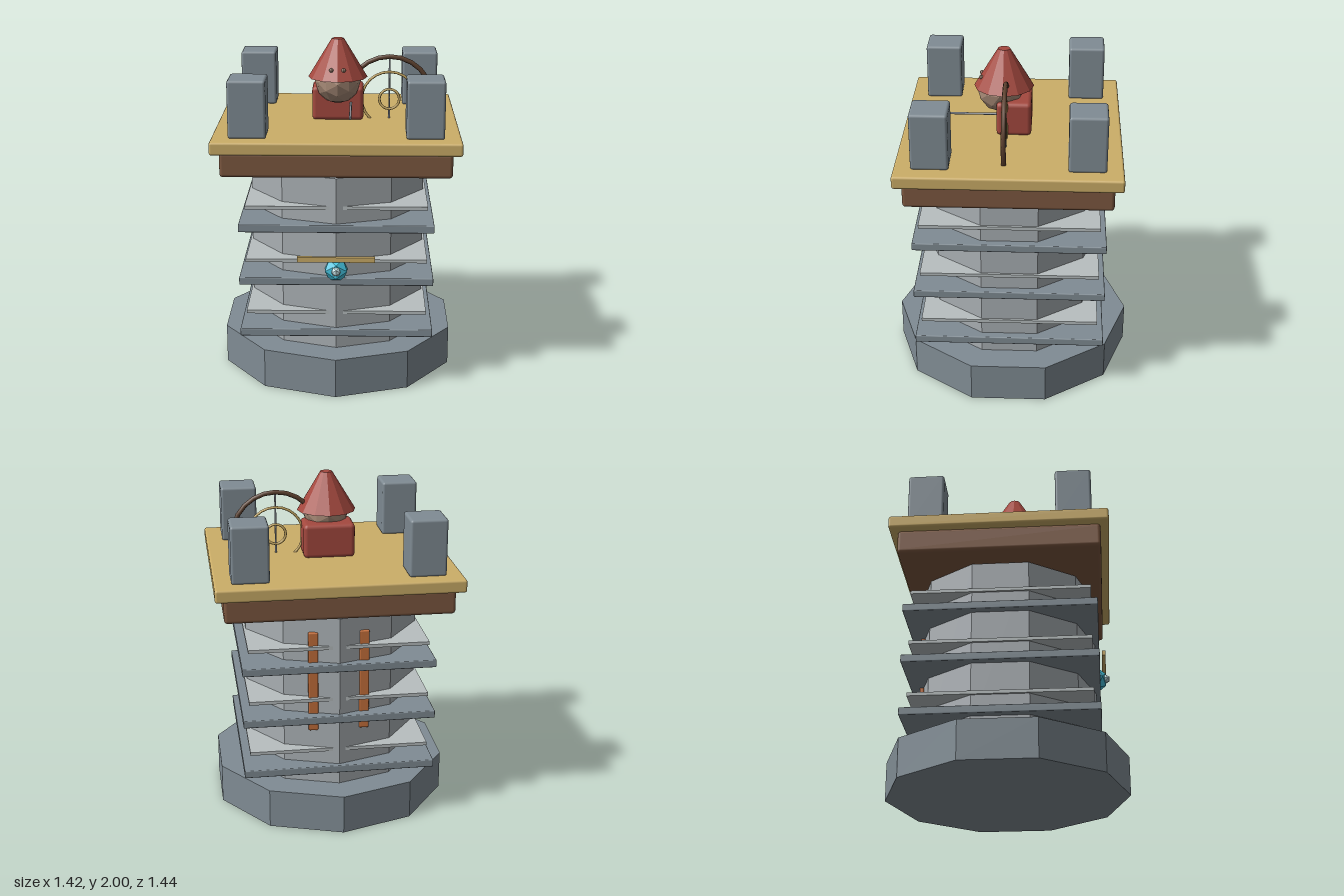
import * as THREE from 'three';
import { RoundedBoxGeometry } from 'three/addons/geometries/RoundedBoxGeometry.js';

export function createModel() {
  const model = new THREE.Group();
  model.name = 'watchtower';

  const mat = (color, flatShading = false) => new THREE.MeshStandardMaterial({ color, flatShading });
  const stone = mat(0x808c94), stoneFlat = mat(0x808c94, true), wall = mat(0xa9afb3, true);
  const pale = mat(0xb8bfc0), gold = mat(0xccae68), wood = mat(0x7d5840), darkWood = mat(0x5e4230);
  const red = mat(0xa5493f), redFlat = mat(0xa5493f, true), skin = mat(0xa98c78, true);
  const orange = mat(0xc8713c), cyan = mat(0x45c4e0, true), crystal = mat(0xc5e2e6, true), metal = mat(0x8d9299);

  const add = (name, geometry, material, x, y, z) => {
    const mesh = new THREE.Mesh(geometry, material);
    mesh.name = name;
    mesh.position.set(x, y, z);
    model.add(mesh);
    return mesh;
  };
  const box = (name, w, h, d, material, x, y, z, r = 0) =>
    add(name, r ? new RoundedBoxGeometry(w, h, d, 2, r) : new THREE.BoxGeometry(w, h, d), material, x, y, z);

  // Ten-sided foundation and tower body
  add('foundation', new THREE.CylinderGeometry(0.72, 0.72, 0.235, 10), stoneFlat, 0, 0.1175, 0);
  add('towerBody', new THREE.CylinderGeometry(0.54, 0.54, 1.05, 10), wall, 0, 0.755, 0);

  // Square bands: a thick plate with a thin one above it, three times
  for (let i = 0; i < 3; i++) {
    const y = 0.34 + i * 0.3225;
    box('thickBand', 1.13, 0.046, 1.13, stone, 0, y, 0, 0.006);
    box('thinBand', 1.055, 0.02, 1.055, pale, 0, y + 0.115, 0);
  }

  // Platform
  box('platformSupport', 1.32, 0.145, 1.19, wood, 0, 1.37, 0, 0.02);
  box('platformDeck', 1.42, 0.076, 1.288, gold, 0, 1.477, 0, 0.014);

  // Corner battlements
  for (const sx of [-1, 1])
    for (const sz of [-1, 1])
      box('battlement', 0.217, 0.335, 0.215, stone, sx * 0.504, 1.678, sz * 0.44, 0.016);

  // Lookout figure
  box('figureBody', 0.306, 0.205, 0.205, red, 0, 1.613, -0.012, 0.025);
  add('figureHead', new THREE.IcosahedronGeometry(0.137, 1), skin, 0, 1.75, 0.073);
  add('figureHat', new THREE.CylinderGeometry(0.036, 0.176, 0.23, 12), redFlat, 0, 1.885, 0.05);
  for (const s of [-1, 1])
    add('figureEye', new THREE.SphereGeometry(0.013, 8, 6), skin, s * 0.036, 1.833, 0.182);
  add('rod', new THREE.CylinderGeometry(0.007, 0.007, 0.44, 8), metal, 0.078, 1.618, 0.27).rotation.x = Math.PI / 2;

  // Wheel sunk into the deck
  const wx = 0.307, wy = 1.63, wz = 0.03;
  add('wheelRim', new THREE.TorusGeometry(0.257, 0.014, 8, 24), darkWood, wx, wy, wz);
  add('wheelRing', new THREE.TorusGeometry(0.165, 0.008, 8, 24), gold, wx, wy, wz);
  add('wheelHub', new THREE.TorusGeometry(0.06, 0.008, 8, 20), gold, wx, wy, wz);
  add('wheelSpoke', new THREE.CylinderGeometry(0.006, 0.006, 0.37, 6), metal, wx, 1.69, wz);

  // Front ornament: gold bar above a crystal
  box('goldBar', 0.45, 0.03, 0.022, gold, 0, 0.81, 0.59);
  add('crystalSetting', new THREE.IcosahedronGeometry(0.076, 0), cyan, 0, 0.732, 0.55).scale.z = 0.75;
  add('crystal', new THREE.IcosahedronGeometry(0.03, 0), crystal, 0, 0.736, 0.595);

  // Vertical strips on the back
  for (const s of [-1, 1])
    box('backStrip', 0.058, 0.615, 0.025, orange, s * 0.15, 0.883, -0.495, 0.008);

  return model;
}
